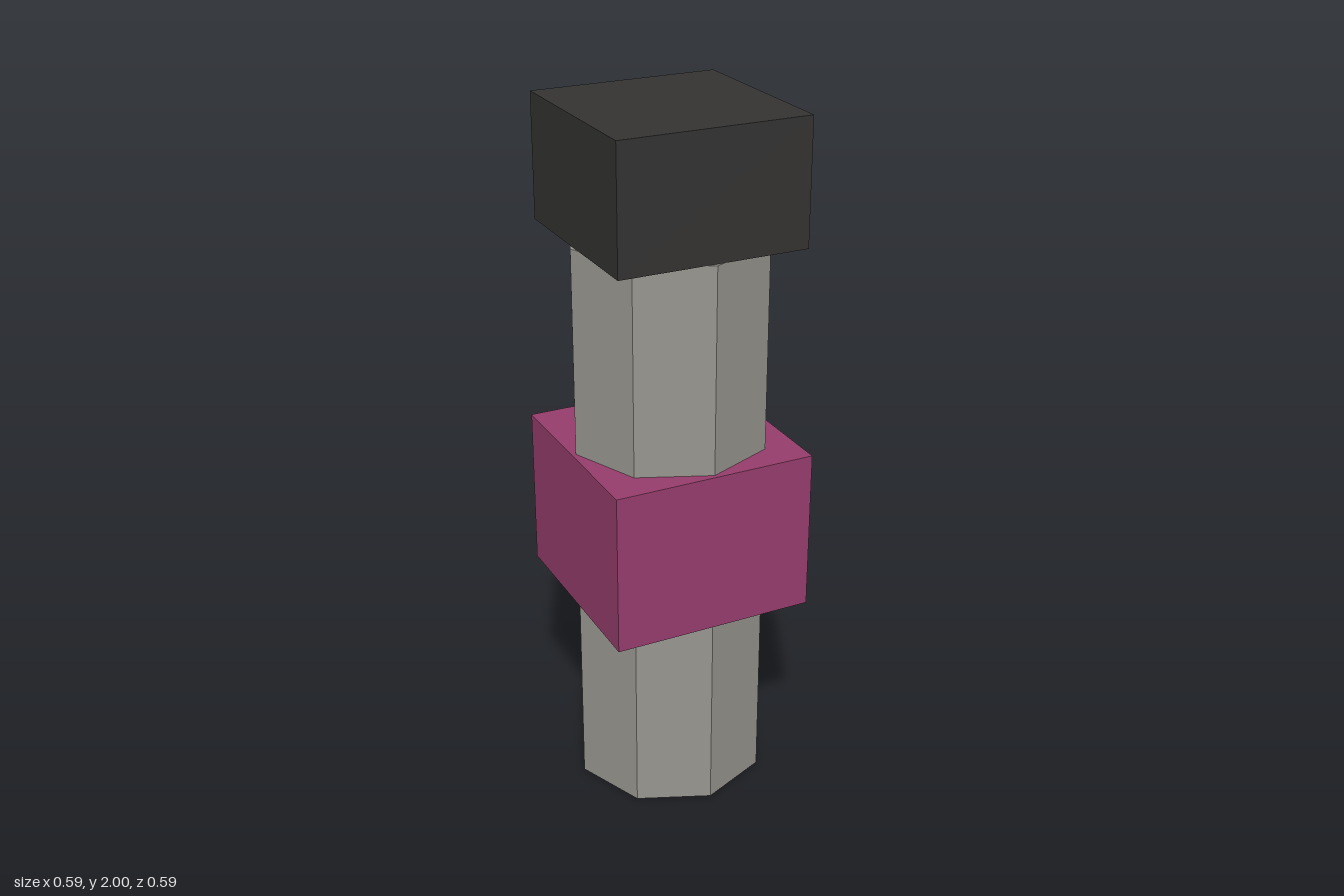
import * as THREE from 'three';

export function createModel() {
  const model = new THREE.Group();

  // Adds a named part spanning bottom..top in height
  function addPart(name, geometry, color, bottom, top) {
    const material = new THREE.MeshStandardMaterial({ color, flatShading: true });
    const mesh = new THREE.Mesh(geometry, material);
    mesh.name = name;
    mesh.position.y = (bottom + top) / 2;
    model.add(mesh);
  }

  const block = (width, bottom, top) => new THREE.BoxGeometry(width, top - bottom, width);

  // Octagonal shaft with corners on the x and z axes
  addPart('shaft', new THREE.CylinderGeometry(0.282, 0.282, 1.65, 8), 0x96958e, 0, 1.65);

  // Square collar around the middle
  addPart('collar', block(0.588, 0.593, 1.06), 0x963d6c, 0.593, 1.06);

  // Square cap on top
  addPart('cap', block(0.542, 1.65, 2), 0x343332, 1.65, 2);

  return model;
}
